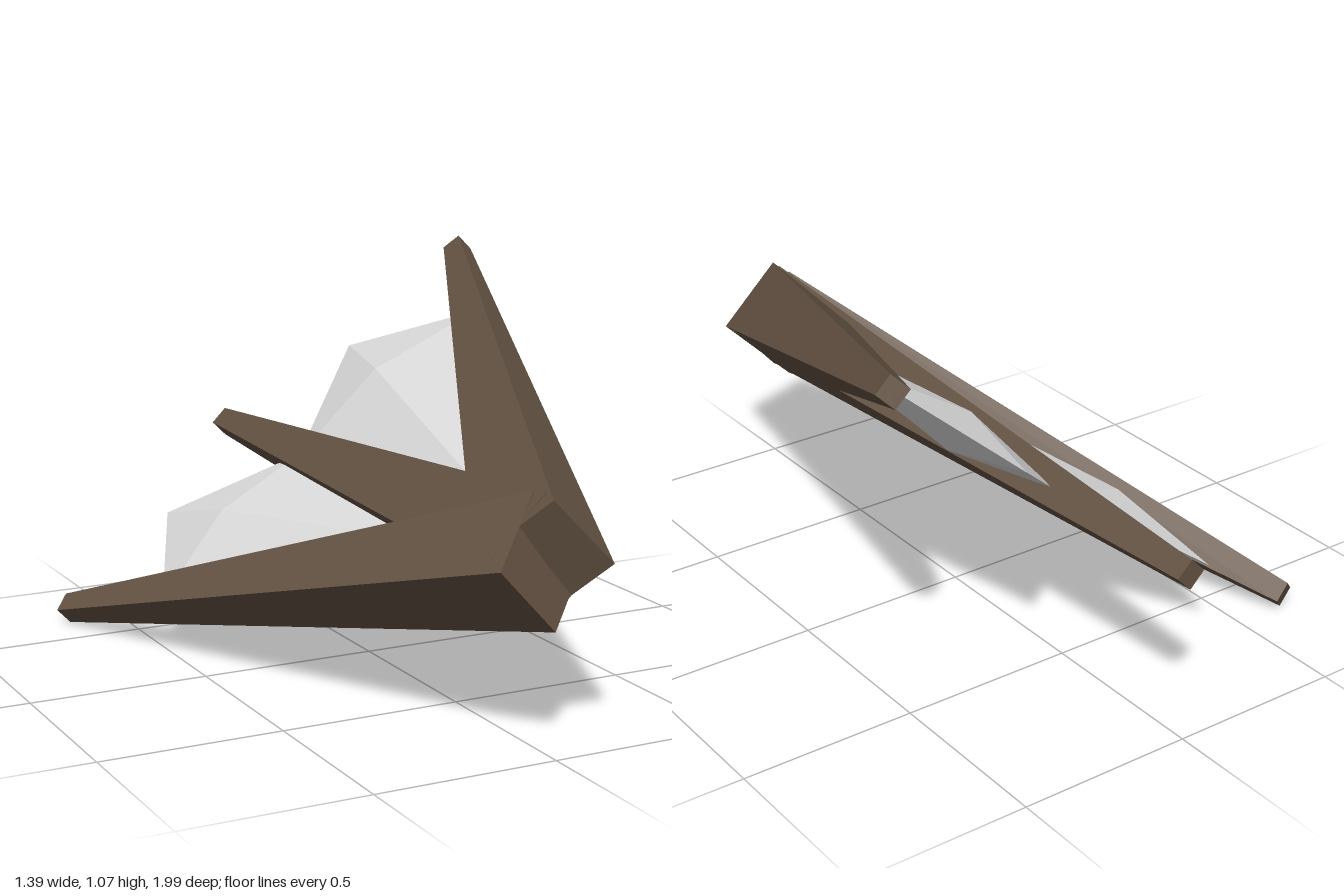
import * as THREE from 'three';

const brown = new THREE.MeshStandardMaterial({ color: 0x645343 });
brown.name = 'toe brown';
brown.flatShading = true;
const grey = new THREE.MeshStandardMaterial({ color: 0xdcdcdc });
grey.name = 'web grey';
grey.flatShading = true;

const heel = new THREE.Vector3(0, 0.485, 0.93);
const tips = {
  right: new THREE.Vector3(-0.655, 0.042, -0.67),
  middle: new THREE.Vector3(0, 0.485, -1),
  left: new THREE.Vector3(0.6525, 1.035, -0.67),
};

// Four-sided tapering bar from the heel to a tip
function makeToe(tip, name) {
  const dir = tip.clone().sub(heel);
  const length = dir.length();
  const geo = new THREE.CylinderGeometry(0.0425, 0.173, length, 4, 1).toNonIndexed();
  geo.translate(0, length / 2, 0);
  geo.rotateX(-Math.PI / 2);
  const mesh = new THREE.Mesh(geo, brown);
  mesh.quaternion.setFromUnitVectors(new THREE.Vector3(0, 0, -1), dir.normalize());
  mesh.position.copy(heel);
  mesh.name = name;
  return mesh;
}

// Thin lens: a four-cornered outline with a raised point on each side
function makeWeb(outerTip, webTip, name) {
  const along = (tip, d) => heel.clone().add(tip.clone().sub(heel).setLength(d));
  const inner = along(tips.middle, 1.38);
  const outer = along(outerTip, 1.37);
  const ring = outerTip.x > 0 ? [heel, inner, webTip, outer] : [heel, outer, webTip, inner];
  const normal = ring[3].clone().sub(heel).cross(ring[1].clone().sub(heel)).normalize();
  const centre = inner.clone().add(outer).multiplyScalar(0.5);
  const top = centre.clone().addScaledVector(normal, 0.058);
  const bottom = centre.clone().addScaledVector(normal, -0.058);
  const points = [];
  for (let i = 0; i < 4; i++) {
    const a = ring[i], b = ring[(i + 1) % 4];
    points.push(top, b, a, bottom, a, b);
  }
  const geo = new THREE.BufferGeometry().setFromPoints(points);
  geo.computeVertexNormals();
  const mesh = new THREE.Mesh(geo, grey);
  mesh.name = name;
  return mesh;
}

export function createModel() {
  const group = new THREE.Group();
  group.name = 'webbedFoot';
  for (const side of Object.keys(tips)) group.add(makeToe(tips[side], side + 'Toe'));
  group.add(makeWeb(tips.left, new THREE.Vector3(0.305, 0.745, -0.73), 'leftWeb'));
  group.add(makeWeb(tips.right, new THREE.Vector3(-0.31, 0.28, -0.73), 'rightWeb'));
  return group;
}
